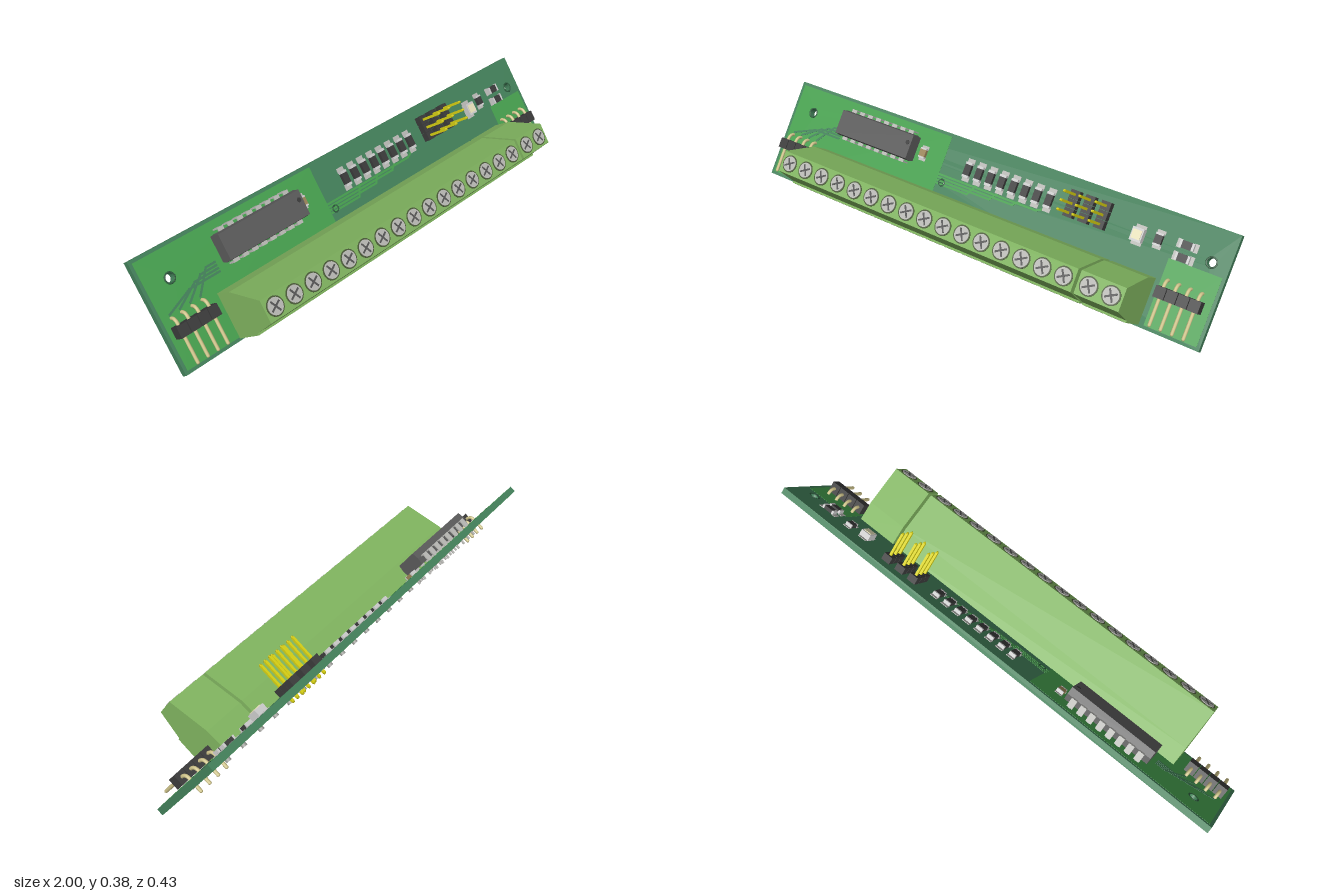
import * as THREE from 'three';

const mats = {};
const mat = (c) => (mats[c] ??= new THREE.MeshStandardMaterial({ color: c }));
const GREEN = 0x80b45f, BOARD = 0x43805a, POUR = 0x46a04e, BACK = 0x3a8443;
const SILVER = 0xb8b8b4, BLACK = 0x3a3a3a, GOLD = 0xd6cf12, TAN = 0xcfc48a;
const PITCH = 0.0424, W = 2, H = 0.417, T = 0.0255;

function add(parent, name, geo, color) {
  const m = new THREE.Mesh(geo, mat(color));
  m.name = name;
  parent.add(m);
  return m;
}

// Box given by its centre and size; x along the board, y up it, z out of its front
function box(parent, name, color, x, y, z, w, h, d) {
  const m = add(parent, name, new THREE.BoxGeometry(w, h, d), color);
  m.position.set(x, y, z);
  return m;
}

// Cylinder whose axis is the board normal
function disc(parent, name, color, x, y, z, r, d, n = 16) {
  const m = add(parent, name, new THREE.CylinderGeometry(r, r, d, n).rotateX(Math.PI / 2), color);
  m.position.set(x, y, z);
  return m;
}

// Side profile of [y, z] points swept along x
function sweep(parent, name, color, pts, x0, x1) {
  const s = new THREE.Shape(pts.map(([y, z]) => new THREE.Vector2(-z, y)));
  const g = new THREE.ExtrudeGeometry(s, { depth: x1 - x0, bevelEnabled: false });
  g.rotateY(Math.PI / 2).translate(x0, 0, 0);
  return add(parent, name, g, color);
}

// Flat sheet pierced by the drill holes that fall inside it
const HOLES = [[-0.893, 0.305, 0.016], [0.935, 0.297, 0.016], [-0.174, 0.223, 0.01]];
function sheet(parent, name, color, x0, x1, y0, y1, z0, z1) {
  const s = new THREE.Shape([[x0, y0], [x1, y0], [x1, y1], [x0, y1]].map((p) => new THREE.Vector2(...p)));
  for (const [x, y, r] of HOLES) {
    if (x > x0 && x < x1 && y > y0 && y < y1) s.holes.push(new THREE.Path().absarc(x, y, r, 0, Math.PI * 2, true));
  }
  const g = new THREE.ExtrudeGeometry(s, { depth: z1 - z0, bevelEnabled: false, curveSegments: 16 });
  return add(parent, name, g.translate(0, 0, z0), color);
}

// Copper track following [x, y] points
function track(parent, color, z, pts) {
  for (let i = 1; i < pts.length; i++) {
    const [ax, ay] = pts[i - 1], [bx, by] = pts[i];
    const m = box(parent, 'track', color, (ax + bx) / 2, (ay + by) / 2, z, Math.hypot(bx - ax, by - ay) + 0.006, 0.008, 0.001);
    m.rotation.z = Math.atan2(by - ay, bx - ax);
  }
}

function group(parent, name) {
  const g = new THREE.Group();
  g.name = name;
  parent.add(g);
  return g;
}

// Solder ring on the back of the board
function pad(parent, x, y, r) {
  const m = add(parent, 'solderPad', new THREE.TorusGeometry(r, r * 0.3, 6, 16).scale(1, 1, 0.4), SILVER);
  m.position.set(x, y, -T - 0.0015);
}

function terminalBlock(parent, x0, x1, first, count) {
  const g = group(parent, 'terminalBlock');
  const profile = [[0.0075, 0], [0.0075, 0.1266], [0.0156, 0.128], [0.04, 0.234], [0.124, 0.236], [0.175, 0.079], [0.18, 0]];
  sweep(g, 'terminalHousing', GREEN, profile, x0, x1);
  for (let i = 0; i < count; i++) {
    const x = first + i * PITCH * 2;
    // clamp screw with a cross slot
    disc(g, 'screwRecess', 0x4a5a38, x, 0.082, 0.235, 0.035, 0.003, 24);
    disc(g, 'clampScrew', SILVER, x, 0.082, 0.2365, 0.03, 0.004, 24);
    for (const a of [0.5, 0.5 + Math.PI / 2]) {
      box(g, 'screwSlot', 0x555555, x, 0.082, 0.2385, 0.048, 0.007, 0.001).rotation.z = a;
    }
    // wire entry on the lower face
    box(g, 'wireEntry', 0x33421f, x, 0.0072, 0.07, 0.07, 0.002, 0.1);
    box(g, 'wireClamp', SILVER, x, 0.0062, 0.078, 0.05, 0.002, 0.05);
    // solder leg
    disc(g, 'terminalLeg', 0x9a9a96, x, 0.085, -0.03, 0.011, 0.026);
    pad(g, x, 0.085, 0.017);
  }
}

function angledHeader(parent, cx) {
  const g = group(parent, 'angledHeader');
  for (let i = 0; i < 4; i++) {
    const x = cx + (i - 1.5) * PITCH;
    box(g, 'headerBlock', BLACK, x, 0.14, 0.024, PITCH - 0.003, 0.042, 0.042);
    const path = new THREE.CurvePath();
    const v = (y, z) => new THREE.Vector3(x, y, z);
    path.add(new THREE.LineCurve3(v(0.022, 0.0245), v(0.162, 0.0245)));
    path.add(new THREE.QuadraticBezierCurve3(v(0.162, 0.0245), v(0.188, 0.0245), v(0.188, 0)));
    path.add(new THREE.LineCurve3(v(0.188, 0), v(0.188, -0.049)));
    add(g, 'bentPin', new THREE.TubeGeometry(path, 24, 0.0065, 8), TAN);
    for (const [y, z] of [[0.022, 0.0245], [0.188, -0.049]]) {
      add(g, 'pinTip', new THREE.SphereGeometry(0.0065, 8, 6), TAN).position.set(x, y, z);
    }
    pad(g, x, 0.188, 0.013);
  }
}

// Surface-mount part with metal ends; turn it to lie along x
function chipPart(parent, name, x, y, color = BLACK, turned = false, len = 0.052) {
  const g = group(parent, name);
  box(g, 'body', color, 0, 0, 0.008, 0.028, len * 0.7, 0.014);
  for (const s of [-1, 1]) {
    box(g, 'endCap', 0xd0d0cc, 0, s * len * 0.43, 0.008, 0.028, len * 0.16, 0.015);
    box(g, 'pad', SILVER, 0, s * len * 0.6, 0.001, 0.032, len * 0.32, 0.003);
  }
  g.position.set(x, y, 0);
  if (turned) g.rotation.z = Math.PI / 2;
}

export function createModel() {
  const model = new THREE.Group();
  model.name = 'terminalBoard';
  const pcb = group(model, 'tiltedAssembly');

  // Board and its copper areas
  sheet(pcb, 'board', BOARD, -W / 2, W / 2, 0, H, -T, 0);
  sheet(pcb, 'leftCopperArea', POUR, -0.988, -0.2, 0.012, H - 0.012, 0, 0.0008);
  sheet(pcb, 'rightCopperArea', POUR, 0.79, 0.988, 0.012, 0.26, 0, 0.0008);
  sheet(pcb, 'backCopperArea', BACK, -0.988, 0.988, 0.012, H - 0.012, -T - 0.0008, -T);
  for (const [x, y, r] of HOLES) {
    for (const z of [0.001, -T - 0.001]) {
      const ring = add(pcb, 'holeRing', new THREE.TorusGeometry(r + 0.003, 0.003, 6, 24).scale(1, 1, 0.4), 0x2c5a3c);
      ring.position.set(x, y, z);
    }
  }

  // Screw terminals
  const first = -0.7245;
  terminalBlock(pcb, -0.767, 0.59, first, 16);
  terminalBlock(pcb, 0.602, 0.772, 0.645, 2);

  // Right-angle pin headers at both ends
  angledHeader(pcb, -0.89);
  angledHeader(pcb, 0.88);

  // Dual-row chip
  const chip = group(pcb, 'dualRowChip');
  sweep(chip, 'chipBody', 0x5a5a5a, [[0.262, 0.01], [0.257, 0.036], [0.262, 0.065], [0.358, 0.065], [0.363, 0.036], [0.358, 0.01]], -0.698, -0.33);
  disc(chip, 'orientationMark', BLACK, -0.346, 0.325, 0.0652, 0.009, 0.001);
  for (let i = 0; i < 8; i++) {
    const x = -0.514 + (i - 3.5) * PITCH;
    for (const s of [-1, 1]) {
      const y = 0.31 + s * 0.0635;
      box(chip, 'leadShoulder', SILVER, x, 0.31 + s * 0.057, 0.036, 0.024, 0.017, 0.005);
      box(chip, 'leadUpper', SILVER, x, y, 0.02, 0.024, 0.005, 0.036);
      box(chip, 'leadLower', SILVER, x, y, -0.02, 0.009, 0.005, 0.046);
      pad(chip, x, y, 0.012);
    }
  }

  // Straight pin headers, three columns of three
  const pins = group(pcb, 'straightPinHeaders');
  for (const x of [0.388, 0.45, 0.515]) {
    for (const y of [0.286, 0.3205, 0.355]) {
      box(pins, 'pinBase', BLACK, x, y, 0.014, 0.038, 0.033, 0.028);
      box(pins, 'pin', GOLD, x, y, 0.0425, 0.0095, 0.0095, 0.161);
      for (const s of [-1, 1]) {
        const tip = add(pins, 'pinTip', new THREE.CylinderGeometry(0.003, 0.0067, 0.006, 4).rotateY(Math.PI / 4), GOLD);
        tip.rotation.x = s * Math.PI / 2;
        tip.position.set(x, y, 0.0425 + s * 0.0835);
      }
      pad(pins, x, y, 0.011);
    }
  }

  // Surface-mount parts
  for (let i = 0; i < 8; i++) chipPart(pcb, 'resistor', -0.078 + i * 0.0526, 0.304, BLACK, false, 0.06);
  chipPart(pcb, 'capacitor', -0.297, 0.306, 0x9a8458, false, 0.04);
  chipPart(pcb, 'diode', 0.735, 0.308, BLACK, false, 0.045);
  chipPart(pcb, 'sideResistor', 0.838, 0.322, BLACK, true);
  chipPart(pcb, 'sideResistor', 0.838, 0.276, BLACK, true);
  const lamp = group(pcb, 'indicatorLamp');
  box(lamp, 'lampBase', 0xc4c4c0, 0.66, 0.298, 0.013, 0.044, 0.05, 0.026);
  box(lamp, 'lampLens', 0xe6e0b8, 0.66, 0.298, 0.027, 0.034, 0.034, 0.004);
  for (const s of [-1, 1]) box(lamp, 'lampPad', SILVER, 0.66, 0.298 + s * 0.03, 0.001, 0.04, 0.014, 0.003);

  // Tracks on the back, from the terminals to the parts above
  const tracks = group(pcb, 'tracks');
  for (let i = 0; i < 16; i++) {
    const x = first + i * PITCH * 2;
    const ex = i < 8 ? -0.662 + i * PITCH : -0.078 + (i - 8) * 0.0526;
    const bend = 0.2 - Math.abs(ex - x) * 0.25;
    track(tracks, BOARD, -T - 0.001, [[x, 0.1], [x, bend], [ex, Math.min(bend + Math.abs(ex - x) * 0.4, 0.235)], [ex, i < 8 ? 0.24 : 0.27]]);
  }
  for (let i = 0; i < 4; i++) {
    track(tracks, BOARD, -T - 0.001, [[-0.36, 0.335 + i * 0.016], [0.3 + i * 0.01, 0.335 + i * 0.016], [0.37, 0.29 + i * 0.02]]);
    track(tracks, BOARD, -T - 0.001, [[0.53, 0.285 + i * 0.02], [0.72, 0.285 + i * 0.02], [0.816 + i * PITCH, 0.205]]);
    // front tracks by the left header and beside the chip
    track(tracks, BOARD, 0.0012, [[-0.954 + i * PITCH, 0.2], [-0.85 + i * 0.03, 0.24 + i * 0.012], [-0.72, 0.24 + i * 0.012]]);
    track(tracks, POUR, 0.0008, [[-0.2, 0.215 + i * 0.012], [-0.05 + i * 0.1, 0.215 + i * 0.012], [-0.02 + i * 0.1, 0.265]]);
  }

  // Lean the whole assembly back onto its lower edge
  pcb.rotation.x = -Math.PI / 5;
  pcb.position.set(0, 0.015, 0.051);
  return model;
}
